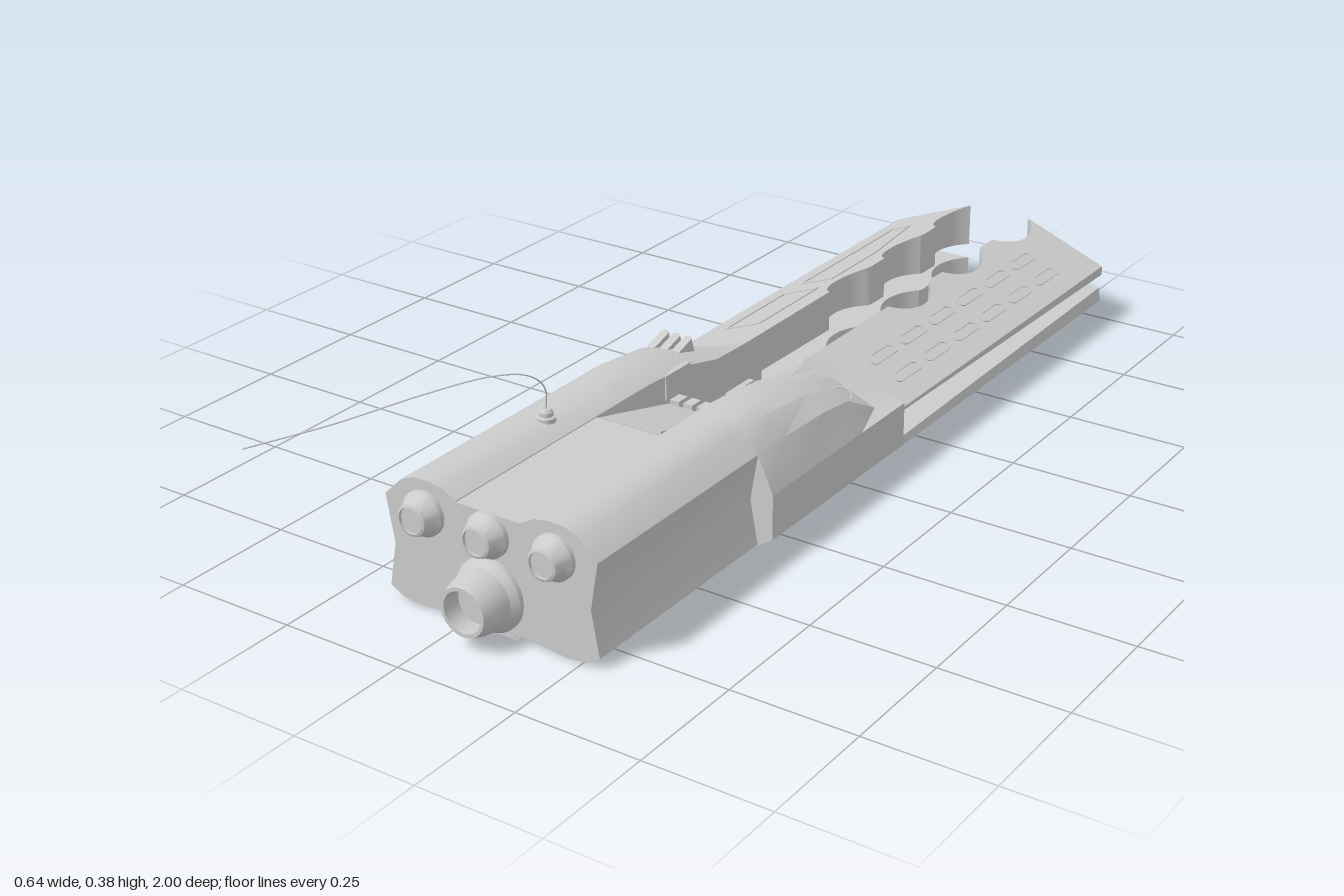
import * as THREE from 'three';
import { toCreasedNormals } from 'three/addons/utils/BufferGeometryUtils.js';

const CX = 0.06; // centre line of the body
const SLOPE = 0.395; // fall of the rail tops towards the outside
const railTop = (u) => 0.122 + (0.26 - u) * SLOPE;
const mat = () => new THREE.MeshStandardMaterial({ color: 0xcccccc, roughness: 0.8 });

function add(parent, name, geo, x = 0, y = 0, z = 0) {
  const m = new THREE.Mesh(geo, mat());
  m.name = name;
  m.position.set(x, y, z);
  parent.add(m);
  return m;
}

// Solid through sections [z, [[u, y], ...]] running from front to back; u is measured outwards
function loft(sections, side) {
  const pos = [];
  const tri = (a, b, c) => pos.push(...a, ...(side > 0 ? b : c), ...(side > 0 ? c : b));
  const rings = sections.map(([z, pts]) => pts.map(([u, y]) => [CX + side * u, y, z]));
  const n = rings[0].length;
  for (let i = 0; i < rings.length - 1; i++) {
    for (let j = 0; j < n; j++) {
      const k = (j + 1) % n;
      const a = rings[i][j], b = rings[i][k], c = rings[i + 1][j], d = rings[i + 1][k];
      tri(a, b, c);
      tri(b, d, c);
    }
  }
  for (const end of [0, rings.length - 1]) {
    const p = sections[end][1].map(([u, y]) => new THREE.Vector2(u, y));
    for (const [a, b, c] of THREE.ShapeUtils.triangulateShape(p, [])) {
      const area = (p[b].x - p[a].x) * (p[c].y - p[a].y) - (p[b].y - p[a].y) * (p[c].x - p[a].x);
      const r = rings[end];
      if ((area > 0) === (end === 0)) tri(r[a], r[b], r[c]);
      else tri(r[a], r[c], r[b]);
    }
  }
  const g = new THREE.BufferGeometry();
  g.setAttribute('position', new THREE.Float32BufferAttribute(pos, 3));
  return toCreasedNormals(g, 0.4);
}

// Inner edge of the rails: straight slot widened by three round cut-outs
function innerEdge(z) {
  let u = 0.07;
  for (const c of [-0.92, -0.695, -0.47]) {
    const d = 0.108 ** 2 - (z - c) ** 2;
    if (d > 0) u = Math.max(u, Math.sqrt(d));
  }
  return u;
}

function capsule(w, l) {
  const s = new THREE.Shape();
  const r = w / 2, h = l / 2 - r;
  s.absarc(0, h, r, 0, Math.PI);
  s.absarc(0, -h, r, Math.PI, Math.PI * 2);
  return s.getPoints(6);
}

// Thin raised outline lying on the sloping top of a rail
function railOutline(parent, name, side, u, z, pts, shrink) {
  const c = pts.reduce((s, p) => s.add(p), new THREE.Vector2()).divideScalar(pts.length);
  const shape = new THREE.Shape(pts);
  shape.holes.push(new THREE.Path(pts.map((p) => p.clone().sub(c).multiplyScalar(shrink).add(c))));
  const g = new THREE.ExtrudeGeometry(shape, { depth: 0.004, bevelEnabled: false });
  g.rotateX(-Math.PI / 2);
  g.translate(0, -0.002, 0);
  add(parent, name, g, CX + side * u, railTop(u), z).rotation.z = -side * Math.atan(SLOPE);
}

function nozzle(parent, name, x, y, profile) {
  const pts = profile.map(([r, h]) => new THREE.Vector2(r, h));
  const g = new THREE.LatheGeometry(pts, 28).rotateX(Math.PI / 2);
  add(parent, name, toCreasedNormals(g, 0.4), x, y, 0.815).material.side = THREE.DoubleSide;
}

export function createModel() {
  const model = new THREE.Group();
  model.name = 'device';

  // Cross-sections of one half of the body
  const top = [[0.07, 0.232], [0.1, 0.248], [0.13, 0.253], [0.16, 0.252], [0.19, 0.24], [0.228, 0.203]];
  const base = [[0.21, 0.008], [0.16, 0.001], [0.07, 0.011]];
  const wide = [[0.26, 0.13], [0.26, 0.04], ...base];
  const front = [...top, [0.212, 0.11], [0.228, 0.022], [0.2, 0.006], [0.16, 0.001], [0.07, 0.011]];
  const drop = (ys) => [...top.map(([u], i) => [u, ys[i]]), ...wide];
  const rail = drop(top.map(([u]) => railTop(u)));

  for (const side of [1, -1]) {
    const tag = side > 0 ? 'left' : 'right';
    add(model, tag + 'FrontBody', loft([[0.82, front], [0.34, front]], side));
    add(model, tag + 'RearBody', loft([
      [0.34, [...top, ...wide]],
      [0.25, [...top, ...wide]],
      [0.12, drop([0.222, 0.232, 0.235, 0.233, 0.226, 0.199])],
      [0.03, drop([0.2, 0.206, 0.208, 0.207, 0.203, 0.188])],
      [-0.07, rail],
      [-0.13, rail],
    ], side));

    // Upper wedge rail and lower rounded rail with an open gap between them
    const upper = [], lower = [];
    for (let i = 0; i <= 108; i++) {
      const z = -0.13 - (0.87 * i) / 108, t = i / 108, u = innerEdge(z);
      const gapTop = 0.115 - 0.013 * t, gapBase = 0.055 + 0.014 * t;
      upper.push([z, [[u, railTop(u)], [0.26, railTop(0.26)], [0.26, gapTop], [u, gapTop]]]);
      lower.push([z, [[u, gapBase], [0.255, gapBase], [0.26, 0.04], [0.21, 0.008], [0.16, 0.001], [u, 0.011 - (u - 0.07) * 0.11]]]);
    }
    add(model, tag + 'UpperRail', loft(upper, side));
    add(model, tag + 'LowerRail', loft(lower, side));

    // Small fingers beside the slot end
    add(model, tag + 'SlotFinger', new THREE.BoxGeometry(0.012, 0.05, 0.08), CX + side * 0.073, 0.205, 0.165);
  }

  // Centre block with the ramp that falls towards the slot
  const side = new THREE.Shape([[-0.82, 0.011], [-0.2, 0.011], [-0.2, 0.17], [-0.41, 0.226], [-0.42, 0.23], [-0.82, 0.23]]
    .map(([a, b]) => new THREE.Vector2(a, b)));
  const block = new THREE.ExtrudeGeometry(side, { depth: 0.142, bevelEnabled: false });
  block.translate(0, 0, -0.071).rotateY(Math.PI / 2);
  add(model, 'centreBlock', block, CX);

  // Dovetail strip under the body
  const foot = new THREE.Shape([[-0.052, 0], [0.052, 0], [0.036, 0.015], [-0.036, 0.015]].map(([a, b]) => new THREE.Vector2(a, b)));
  add(model, 'bottomStrip', new THREE.ExtrudeGeometry(foot, { depth: 0.62, bevelEnabled: false }), CX, 0, 0.2);

  // Ramp plate, teeth and contact pins at the end of the slot
  add(model, 'rampPlate', new THREE.BoxGeometry(0.12, 0.006, 0.2), CX, 0.2, 0.305).rotation.x = -0.26;
  for (let i = 0; i < 4; i++) {
    const x = CX - 0.045 + i * 0.03;
    add(model, 'tooth', new THREE.BoxGeometry(0.02, 0.025, 0.03), x, 0.175, 0.195);
    for (const y of [0.1, 0.14]) {
      add(model, 'contactPin', new THREE.CylinderGeometry(0.012, 0.012, 0.04, 14).rotateX(Math.PI / 2), x, y, 0.19);
    }
  }

  // Front nozzles
  for (const x of [-0.08, 0.06, 0.2]) {
    nozzle(model, 'smallNozzle', x, 0.19, [[0.043, 0], [0.043, 0.014], [0.036, 0.024], [0.03, 0.042], [0.025, 0.044], [0.025, 0.038], [0, 0.038]]);
  }
  nozzle(model, 'mainNozzle', 0.06, 0.075, [[0.07, 0], [0.07, 0.014], [0.06, 0.028], [0.055, 0.06], [0.047, 0.084], [0.04, 0.084], [0.04, 0.045], [0, 0.045]]);

  // Two rows of cooling slots on the left rail
  for (let i = 0; i < 6; i++) {
    for (const u of [0.148, 0.205]) railOutline(model, 'coolingSlot', 1, u, -0.235 - i * 0.119, capsule(0.026, 0.1), 0.78);
  }

  // Plate outlines on the right rail
  const poly = (list) => list.map(([x, y]) => new THREE.Vector2(x, y));
  railOutline(model, 'labelPanel', -1, 0.17, -0.7, poly([[-0.045, -0.2], [0.04, -0.2], [0.04, -0.02], [0, 0.2], [-0.045, 0.2]]), 0.95);
  railOutline(model, 'railPanel', -1, 0.17, -0.325, poly([[-0.045, -0.115], [0.045, -0.115], [0.045, 0.115], [-0.045, 0.115]]), 0.94);

  // Raised vents on the right shoulder, round mark on the left one
  for (const x of [-0.117, -0.09, -0.063]) {
    const g = new THREE.ExtrudeGeometry(new THREE.Shape(capsule(0.018, 0.06)), { depth: 0.035, bevelEnabled: false });
    g.rotateX(-Math.PI / 2);
    add(model, 'shoulderVent', g, x, 0.2, 0.065).rotation.x = 0.3;
  }
  const mark = add(model, 'shoulderMark', new THREE.TorusGeometry(0.024, 0.002, 6, 24), 0.25, 0.174, 0);
  mark.rotation.set(-Math.PI / 2 + 0.55, 0.25, 0);

  // Antenna with its stepped socket
  const socket = [[0.018, 0], [0.018, 0.01], [0.013, 0.012], [0.013, 0.02], [0.009, 0.025], [0, 0.027]].map(([r, h]) => new THREE.Vector2(r, h));
  add(model, 'antennaSocket', toCreasedNormals(new THREE.LatheGeometry(socket, 18), 0.5), -0.055, 0.246, 0.51);
  const path = new THREE.CatmullRomCurve3([
    [-0.055, 0.265, 0.51], [-0.041, 0.325, 0.53], [-0.045, 0.364, 0.575], [-0.075, 0.378, 0.64],
    [-0.14, 0.366, 0.74], [-0.23, 0.338, 0.87], [-0.32, 0.319, 1],
  ].map((p) => new THREE.Vector3(...p)));
  add(model, 'antennaWire', new THREE.TubeGeometry(path, 60, 0.0014, 6));

  return model;
}
